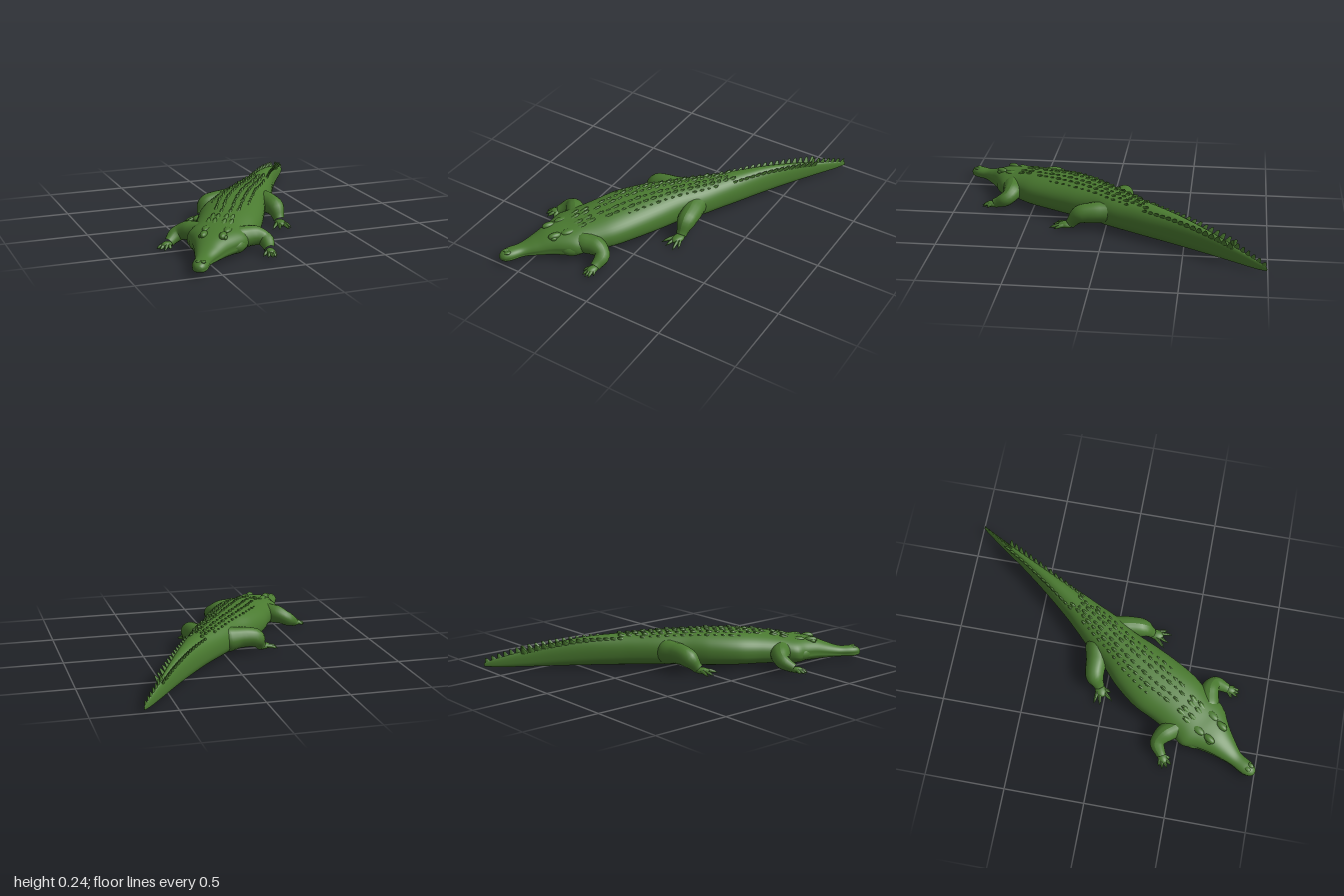
import * as THREE from 'three';

const skin = new THREE.MeshStandardMaterial({ color: 0x4a7a30 });

// Body sections from snout to tail tip: distance, half width, side shift, bottom, top
const SECTIONS = [
  [-0.018, 0.02, -0.005, 0.033, 0.064], [0, 0.036, -0.005, 0.024, 0.079], [0.04, 0.047, -0.008, 0.02, 0.086],
  [0.12, 0.049, -0.012, 0.022, 0.089], [0.20, 0.074, -0.008, 0.02, 0.114], [0.28, 0.106, -0.004, 0.016, 0.145],
  [0.36, 0.148, 0, 0.013, 0.162], [0.42, 0.18, -0.005, 0.011, 0.17], [0.50, 0.176, -0.005, 0.009, 0.184],
  [0.65, 0.19, 0, 0.008, 0.207], [0.80, 0.196, -0.013, 0.008, 0.222], [0.98, 0.176, -0.016, 0.008, 0.229],
  [1.13, 0.145, -0.01, 0.01, 0.226], [1.27, 0.135, 0, 0.01, 0.22], [1.42, 0.109, 0.005, 0.01, 0.211],
  [1.53, 0.091, 0.008, 0.01, 0.205], [1.75, 0.059, 0.006, 0.01, 0.188], [1.97, 0.034, 0.003, 0.01, 0.15],
  [2.14, 0.021, 0, 0.01, 0.108], [2.30, 0.011, 0, 0.012, 0.066], [2.373, 0.004, 0, 0.018, 0.042],
];
const BACK = 0.92, BELLY = 0.75; // roundness of the cross-section above and below

// Smooth cubic interpolation between the sections
function sectionAt(s) {
  const P = SECTIONS, last = P.length - 1;
  let i = 0;
  while (i < last - 1 && s > P[i + 1][0]) i++;
  const h = P[i + 1][0] - P[i][0], t = (s - P[i][0]) / h;
  const slope = (k, c) => {
    const a = P[Math.max(k - 1, 0)], b = P[Math.min(k + 1, last)];
    return (b[c] - a[c]) / (b[0] - a[0]);
  };
  const [w, shift, y0, y1] = [1, 2, 3, 4].map((c) =>
    (2 * t ** 3 - 3 * t * t + 1) * P[i][c] + (t ** 3 - 2 * t * t + t) * h * slope(i, c) +
    (3 * t * t - 2 * t ** 3) * P[i + 1][c] + (t ** 3 - t * t) * h * slope(i + 1, c));
  return { w, shift, y0, y1, mid: y0 + 0.42 * (y1 - y0) };
}

// Point on the back, at a fraction k of the half width
function onBack(s, k) {
  const { w, shift, y1, mid } = sectionAt(s);
  const rise = (1 - Math.abs(k) ** (2 / BACK)) ** (BACK / 2);
  return new THREE.Vector3(shift + k * w, mid + (y1 - mid) * rise, -s);
}

function bodyGeometry() {
  const rings = 140, sides = 48, pos = [], index = [];
  const s0 = SECTIONS[0][0], s1 = SECTIONS[SECTIONS.length - 1][0];
  for (let i = 0; i <= rings; i++) {
    const s = s0 + (s1 - s0) * (i / rings) ** 1.25;
    const { w, shift, y0, y1, mid } = sectionAt(s);
    for (let j = 0; j < sides; j++) {
      const a = (j / sides) * Math.PI * 2, c = Math.cos(a), n = Math.sin(a);
      const power = n < 0 ? BELLY : BACK;
      const x = Math.sign(c) * Math.abs(c) ** power * w;
      const y = mid + Math.sign(n) * Math.abs(n) ** power * (n < 0 ? mid - y0 : y1 - mid);
      // groove of the closed mouth
      const mouth = s < 0.36 ? 1 - 0.08 * Math.exp(-(((y - mid + 0.004) / 0.005) ** 2)) : 1;
      pos.push(shift + x * mouth, y, -s);
    }
  }
  for (let i = 0; i < rings; i++) {
    for (let j = 0; j < sides; j++) {
      const a = i * sides + j, b = i * sides + (j + 1) % sides;
      index.push(a, a + sides, b, b, a + sides, b + sides);
    }
  }
  // close both ends
  for (const [ring, flip] of [[0, false], [rings, true]]) {
    const { shift, mid } = sectionAt(ring ? s1 : s0);
    const centre = pos.length / 3;
    pos.push(shift, mid, ring ? -s1 - 0.004 : -s0 + 0.006);
    for (let j = 0; j < sides; j++) {
      const a = ring * sides + j, b = ring * sides + (j + 1) % sides;
      index.push(centre, flip ? b : a, flip ? a : b);
    }
  }
  const g = new THREE.BufferGeometry();
  g.setAttribute('position', new THREE.Float32BufferAttribute(pos, 3));
  g.setIndex(index);
  g.computeVertexNormals();
  return g;
}

function add(parent, name, geometry, position, scale) {
  const mesh = new THREE.Mesh(geometry, skin);
  mesh.name = name;
  if (position) mesh.position.copy(position);
  if (scale) mesh.scale.set(...scale);
  parent.add(mesh);
  return mesh;
}

// Tube along points whose radius follows a list
function taperedTube(points, radii, steps = 24, sides = 16) {
  const curve = new THREE.CatmullRomCurve3(points.map((p) => new THREE.Vector3(...p)));
  const g = new THREE.TubeGeometry(curve, steps, 1, sides, false);
  const p = g.attributes.position, v = new THREE.Vector3();
  for (let i = 0; i <= steps; i++) {
    const c = curve.getPointAt(i / steps), f = (i / steps) * (radii.length - 1);
    const k = Math.min(Math.floor(f), radii.length - 2);
    const r = THREE.MathUtils.lerp(radii[k], radii[k + 1], THREE.MathUtils.smoothstep(f - k, 0, 1));
    for (let j = 0; j <= sides; j++) {
      const n = i * (sides + 1) + j;
      v.fromBufferAttribute(p, n).sub(c).multiplyScalar(r).add(c);
      p.setXYZ(n, v.x, Math.max(v.y, 0.003), v.z);
    }
  }
  g.computeVertexNormals();
  return g;
}

const ball = new THREE.SphereGeometry(1, 20, 14);

// Limb, palm and toes; toes are given as x, z of the tips
function leg(root, name, path, radii, palmSize, tips) {
  const group = new THREE.Group();
  group.name = name;
  add(group, 'limb', taperedTube(path, radii));
  const [x, , z] = path[path.length - 1];
  const mx = tips.reduce((a, t) => a + t[0], 0) / tips.length;
  const mz = tips.reduce((a, t) => a + t[1], 0) / tips.length;
  const palm = add(group, 'palm', ball, new THREE.Vector3(x * 0.75 + mx * 0.25, 0.023, z * 0.75 + mz * 0.25),
    [palmSize * 0.9, 0.021, palmSize * 1.3]);
  palm.rotation.y = Math.atan2(mx - x, mz - z);
  for (const [tx, tz] of tips) {
    const sx = x * 0.8 + tx * 0.2, sz = z * 0.8 + tz * 0.2;
    add(group, 'toe', taperedTube([[sx, 0.026, sz], [(sx + tx) / 2, 0.021, (sz + tz) / 2], [tx, 0.007, tz]],
      [0.014, 0.012, 0.01, 0.001], 8, 8));
  }
  root.add(group);
}

export function createModel() {
  const root = new THREE.Group();
  root.name = 'crocodile';

  // Trunk frame: snout at the origin, tail along -z, turned diagonally
  const trunk = new THREE.Group();
  trunk.name = 'trunk';
  trunk.position.set(-0.624, 0, 0.98);
  trunk.rotation.y = -0.589;
  root.add(trunk);
  add(trunk, 'body', bodyGeometry());

  // Blunt keeled plate with the top swept backwards
  const keel = new THREE.CylinderGeometry(0.35, 1, 1, 8, 1);
  keel.translate(0, 0.5, 0);
  const kp = keel.attributes.position;
  for (let i = 0; i < kp.count; i++) kp.setZ(i, kp.getZ(i) - 0.7 * kp.getY(i));
  keel.computeVertexNormals();
  const plate = (name, s, k, scale) => {
    const m = add(trunk, name, keel, onBack(s, k), scale);
    m.position.y -= 0.005;
    m.rotation.z = -k * 0.7;
  };

  // Rows of long low back plates
  for (const [k, from, to, size] of [[0.14, 0.62, 1.5, 1], [0.36, 0.66, 1.52, 1], [0.56, 0.78, 1.4, 0.8]]) {
    for (let s = from, n = 0; s < to; s += 0.05, n++) {
      const f = size * (0.9 + 0.15 * Math.sin(n * 2.3 + k * 20));
      for (const side of [-1, 1]) plate('backPlate', s, k * side, [0.013 * f, 0.015 * f, 0.028 * f]);
    }
  }
  // Cluster of neck plates
  for (const [s, k] of [[0.48, 0.16], [0.49, 0.38], [0.54, 0.14], [0.55, 0.32]]) {
    for (const side of [-1, 1]) plate('neckPlate', s, k * side, [0.017, 0.016, 0.03]);
  }
  // Paired tail crests joining into a single one
  for (let s = 1.52; s < 2.13; s += 0.043) {
    const h = 0.014 + 0.05 * (s - 1.52);
    for (const side of [-1, 1]) plate('pairedTailCrest', s, 0.6 * side, [0.009, h, 0.023]);
  }
  for (let s = 2.12; s < 2.36; s += 0.038) plate('tailCrest', s, 0, [0.006, 0.036 - 0.05 * (s - 2.12), 0.02]);

  // Head: eyes with brow ridges, skull corners, cheeks, nostrils
  for (const side of [-1, 1]) {
    const v = (x, y, s) => new THREE.Vector3(x * side, y, -s);
    add(trunk, 'browRidge', ball, v(0.056, 0.145, 0.315), [0.022, 0.021, 0.042]);
    add(trunk, 'eye', ball, v(0.071, 0.138, 0.305), [0.013, 0.014, 0.02]);
    add(trunk, 'skullCorner', ball, v(0.063, 0.154, 0.4), [0.024, 0.016, 0.045]);
    add(trunk, 'cheek', ball, v(0.105, 0.07, 0.425), [0.066, 0.056, 0.1]);
    add(trunk, 'nostril', ball, v(0.015, 0.08, 0.025), [0.014, 0.008, 0.02]);
  }

  // Legs, each starting deep inside the trunk
  leg(root, 'frontLeftLeg',
    [[-0.35, 0.085, 0.66], [-0.25, 0.092, 0.65], [-0.16, 0.09, 0.645], [-0.112, 0.068, 0.67], [-0.115, 0.03, 0.75]],
    [0.03, 0.066, 0.06, 0.046, 0.031], 0.031,
    [[-0.172, 0.79], [-0.155, 0.825], [-0.13, 0.835], [-0.108, 0.832], [-0.09, 0.8]]);
  leg(root, 'frontRightLeg',
    [[-0.38, 0.085, 0.56], [-0.45, 0.092, 0.47], [-0.505, 0.09, 0.405], [-0.555, 0.068, 0.378], [-0.62, 0.03, 0.415]],
    [0.03, 0.066, 0.06, 0.046, 0.031], 0.031,
    [[-0.685, 0.41], [-0.70, 0.435], [-0.69, 0.465], [-0.665, 0.487], [-0.625, 0.475]]);
  leg(root, 'rearLeftLeg',
    [[0.06, 0.1, -0.15], [0.122, 0.105, -0.04], [0.153, 0.108, 0.07], [0.165, 0.095, 0.16], [0.167, 0.032, 0.22]],
    [0.02, 0.08, 0.066, 0.06, 0.033], 0.038, [[0.085, 0.315], [0.125, 0.335], [0.183, 0.35], [0.208, 0.32]]);
  leg(root, 'rearRightLeg',
    [[0.08, 0.1, -0.1], [-0.03, 0.105, -0.095], [-0.12, 0.108, -0.088], [-0.2, 0.095, -0.083], [-0.25, 0.032, -0.045]],
    [0.02, 0.08, 0.066, 0.06, 0.033], 0.038, [[-0.36, -0.06], [-0.365, -0.02], [-0.325, 0.05], [-0.27, 0.035]]);

  return root;
}
